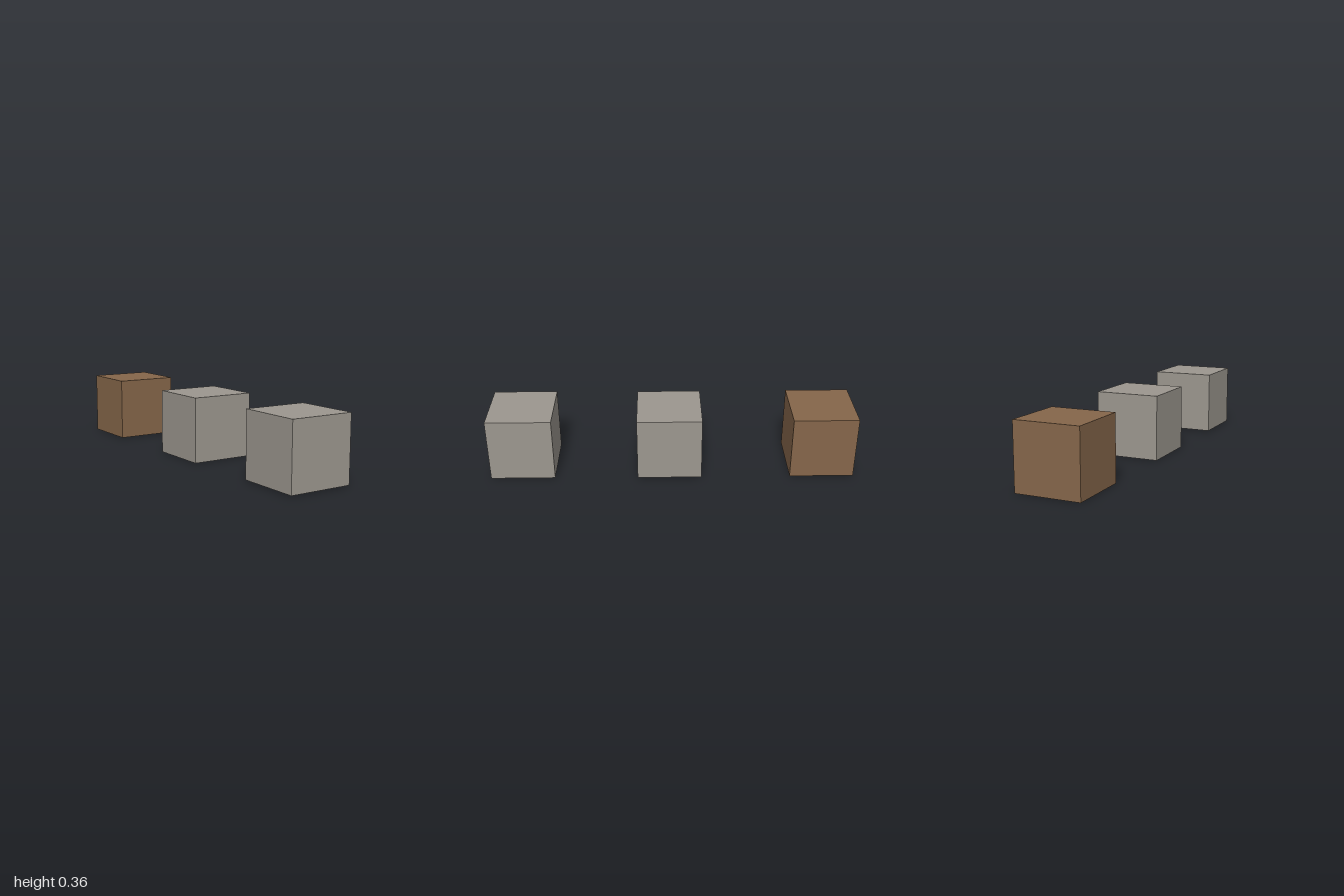
import * as THREE from 'three';

export function createModel() {
  const model = new THREE.Group();
  const stone = new THREE.MeshStandardMaterial({ color: 0x9c978f });
  stone.name = 'stone grey';
  const wood = new THREE.MeshStandardMaterial({ color: 0x85664a });
  wood.name = 'wood brown';

  const size = 0.352;
  const cube = new THREE.BoxGeometry(size, size, size);

  // Three equal blocks in a row; the front one sits slightly higher
  const blocks = [
    ['frontBlock', stone, 0.005, 0.824],
    ['middleBlock', stone, 0, 0.017],
    ['backBlock', wood, 0, -0.824],
  ];
  for (const [name, material, base, z] of blocks) {
    const block = new THREE.Mesh(cube, material);
    block.name = name;
    block.position.set(0, base + size / 2, z);
    model.add(block);
  }
  return model;
}
